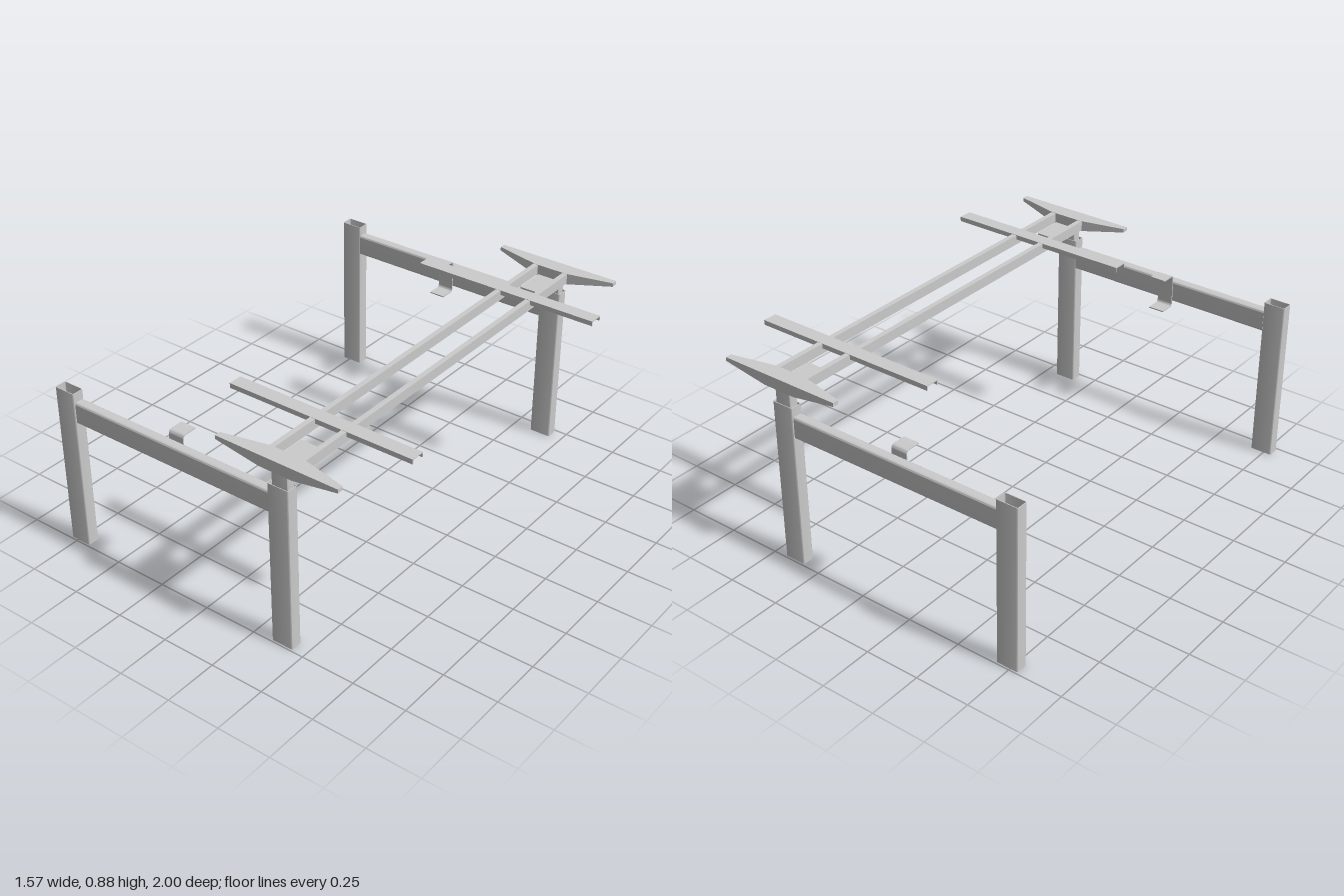
import * as THREE from 'three';
import { toCreasedNormals } from 'three/addons/utils/BufferGeometryUtils.js';

const grey = new THREE.MeshStandardMaterial({ color: 0xcccccc, side: THREE.DoubleSide });

function add(parent, name, geometry, x = 0, y = 0, z = 0) {
  const mesh = new THREE.Mesh(geometry, grey);
  mesh.name = name;
  mesh.position.set(x, y, z);
  parent.add(mesh);
  return mesh;
}

// Rounded rectangle centred on the origin
function roundedRect(path, w, h, r) {
  const x = w / 2, y = h / 2;
  path.moveTo(x, -y + r);
  path.absarc(x - r, y - r, r, 0, Math.PI / 2);
  path.absarc(-x + r, y - r, r, Math.PI / 2, Math.PI);
  path.absarc(-x + r, -y + r, r, Math.PI, Math.PI * 1.5);
  path.absarc(x - r, -y + r, r, Math.PI * 1.5, Math.PI * 2);
  path.closePath();
  return path;
}

function extrude(shape, depth) {
  const g = new THREE.ExtrudeGeometry(shape, { depth, bevelEnabled: false, curveSegments: 4 });
  return toCreasedNormals(g, 0.6);
}

// Open hollow profile, extruded along z
function hollow(w, h, length, r, wall) {
  const shape = roundedRect(new THREE.Shape(), w, h, r);
  shape.holes.push(roundedRect(new THREE.Path(), w - 2 * wall, h - 2 * wall, r - wall * 0.7));
  return extrude(shape, length);
}

const upright = (g) => g.rotateX(-Math.PI / 2);
const alongX = (g) => g.rotateY(Math.PI / 2);

// Support wing: tapers in plan and rises towards both tips
function wingGeometry() {
  const g = new THREE.BoxGeometry(3, 1, 1, 3, 1, 1);
  const p = g.attributes.position;
  for (let i = 0; i < p.count; i++) {
    const tip = Math.abs(p.getX(i)) > 1;
    const side = Math.sign(p.getX(i));
    const x = side * (tip ? 0.293 : 0.08);
    const y = p.getY(i) > 0 ? 0.882 : tip ? 0.865 : 0.83;
    const z = p.getZ(i) > 0 ? 1 : tip ? 0.972 : 0.924;
    p.setXYZ(i, x, y, z);
  }
  const flat = g.toNonIndexed();
  flat.computeVertexNormals();
  return flat;
}

// C-shaped clip bent from sheet; shape x becomes -z
function clipGeometry() {
  const s = new THREE.Shape();
  const end = -0.86, back = -0.935, top = 0.752, low = 0.592, r = 0.018, t = 0.005;
  s.moveTo(end, top);
  s.lineTo(back + r, top);
  s.quadraticCurveTo(back, top, back, top - r);
  s.lineTo(back, low + r);
  s.quadraticCurveTo(back, low, back + r, low);
  s.lineTo(end, low);
  s.lineTo(end, low + t);
  s.lineTo(back + r, low + t);
  s.quadraticCurveTo(back + t, low + t, back + t, low + r);
  s.lineTo(back + t, top - r);
  s.quadraticCurveTo(back + t, top - t, back + r, top - t);
  s.lineTo(end, top - t);
  s.closePath();
  return alongX(extrude(s, 0.075));
}

// Inverted channel running along x
function crossbarGeometry() {
  const s = new THREE.Shape();
  const w = 0.0325, h = 0.022, t = 0.004;
  [[-w, 0], [-w + t, 0], [-w + t, h - t], [w - t, h - t], [w - t, 0], [w, 0], [w, h], [-w, h]]
    .forEach(([x, y], i) => (i ? s.lineTo(x, y) : s.moveTo(x, y)));
  s.closePath();
  return alongX(extrude(s, 0.89));
}

// One end frame, on the +z side
function endFrame() {
  const frame = new THREE.Group();
  const legZ = 0.963;
  for (const [name, x] of [['rightLeg', -0.735], ['leftLeg', 0.39]]) {
    add(frame, name, upright(hollow(0.102, 0.056, 0.762, 0.006, 0.003)), x, 0, legZ);
  }
  add(frame, 'innerLegTube', upright(hollow(0.08, 0.042, 0.13, 0.006, 0.003)), 0.393, 0.702, legZ - 0.003);
  const beam = extrude(roundedRect(new THREE.Shape(), 0.048, 0.1, 0.01), 1.026);
  add(frame, 'sideBeam', alongX(beam), -0.685, 0.668, 0.96);
  add(frame, 'cableClip', clipGeometry(), -0.21, 0, 0);
  add(frame, 'supportWing', wingGeometry(), 0.39, 0, 0);
  const tongue = extrude(roundedRect(new THREE.Shape(), 0.12, 0.222, 0.008), 0.008);
  add(frame, 'supportTongue', upright(tongue), 0.39, 0.828, 0.884);
  add(frame, 'crossbar', crossbarGeometry(), -0.105, 0.86, 0.65);
  return frame;
}

export function createModel() {
  const model = new THREE.Group();
  model.name = 'deskFrame';

  const front = endFrame();
  front.name = 'frontEndFrame';
  const back = endFrame();
  back.name = 'backEndFrame';
  back.scale.z = -1;
  model.add(front, back);

  // Long rails joining the two ends
  for (const [name, x] of [['rightRail', 0.314], ['leftRail', 0.465]]) {
    add(model, name, new THREE.BoxGeometry(0.024, 0.046, 1.88), x, 0.858, 0);
  }
  return model;
}
